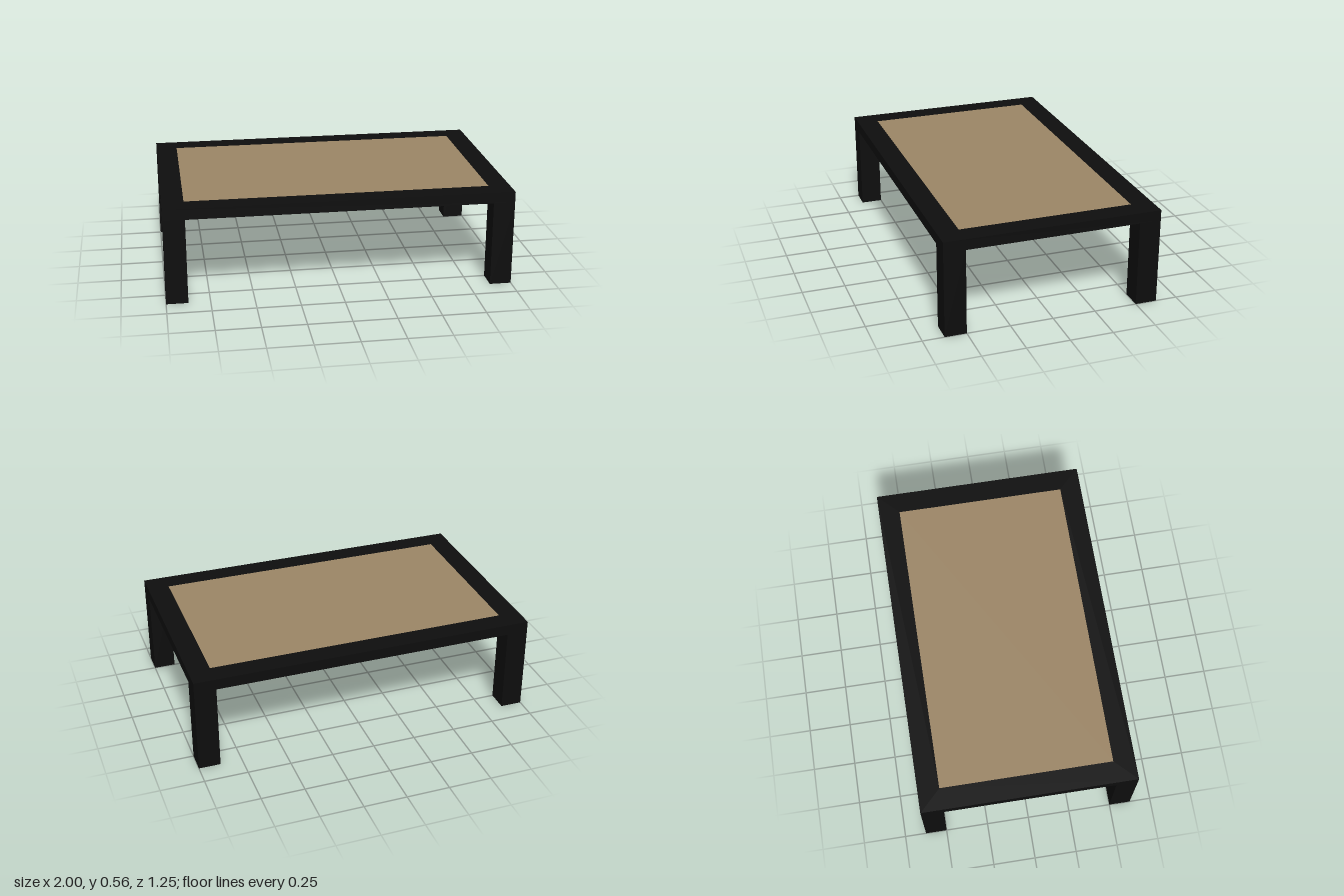
import * as THREE from 'three';

const W = 2, D = 1.25, H = 0.5625; // overall size
const T = 0.0625;                  // frame thickness
const B = 0.125;                   // frame border and leg width

function rectangle(PathType, w, d) {
  return new PathType([
    [-w / 2, -d / 2], [w / 2, -d / 2], [w / 2, d / 2], [-w / 2, d / 2],
  ].map(([x, y]) => new THREE.Vector2(x, y)));
}

export function createModel() {
  const table = new THREE.Group();
  table.name = 'lowTable';
  const black = new THREE.MeshStandardMaterial({ color: 0x0d0d0d });
  const tan = new THREE.MeshStandardMaterial({ color: 0x9a8465, side: THREE.DoubleSide });

  // Rectangular top frame, open in the middle
  const outline = rectangle(THREE.Shape, W, D);
  outline.holes.push(rectangle(THREE.Path, W - 2 * B, D - 2 * B));
  const frameGeometry = new THREE.ExtrudeGeometry(outline, { depth: T, bevelEnabled: false });
  frameGeometry.rotateX(-Math.PI / 2).translate(0, H - T, 0);
  const frame = new THREE.Mesh(frameGeometry, black);
  frame.name = 'topFrame';
  table.add(frame);

  // Thin inlaid sheet, flush with the top of the frame
  const panelGeometry = new THREE.PlaneGeometry(W - 2 * B, D - 2 * B);
  panelGeometry.rotateX(-Math.PI / 2);
  const panel = new THREE.Mesh(panelGeometry, tan);
  panel.name = 'topPanel';
  panel.position.y = H;
  table.add(panel);

  // Square corner legs
  const legGeometry = new THREE.BoxGeometry(B, H - T, B);
  for (const [sx, xName] of [[1, 'Left'], [-1, 'Right']]) {
    for (const [sz, zName] of [[1, 'front'], [-1, 'back']]) {
      const leg = new THREE.Mesh(legGeometry, black);
      leg.name = `${zName}${xName}Leg`;
      leg.position.set(sx * (W - B) / 2, (H - T) / 2, sz * (D - B) / 2);
      table.add(leg);
    }
  }
  return table;
}
